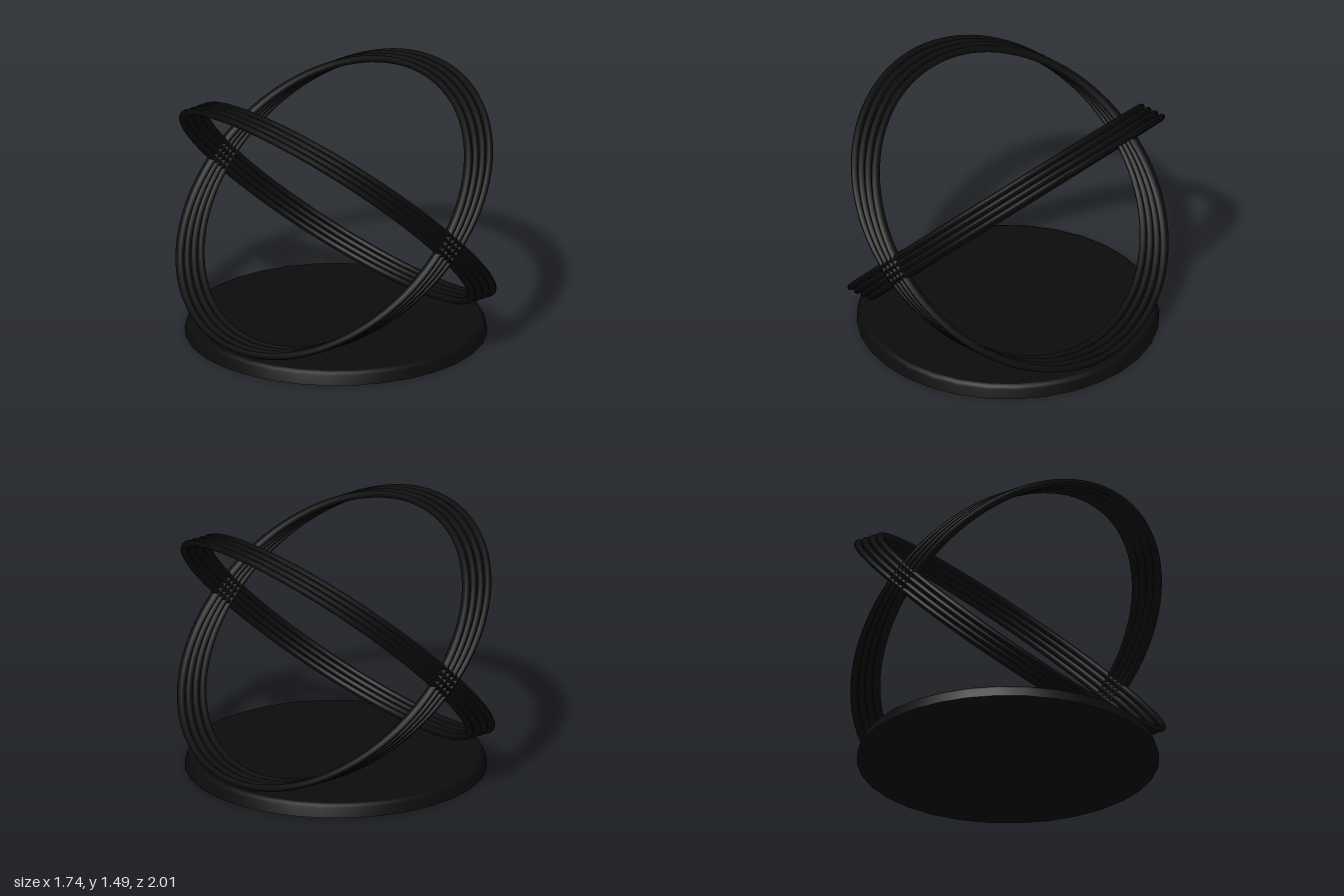
import * as THREE from 'three';

const BLACK = new THREE.MeshStandardMaterial({ color: 0x0c0c0c });

// Ring lying in the local xy plane, its section deepened along local y
function ringGeometry(radius, tube, depthScale) {
  const geo = new THREE.TorusGeometry(radius, tube, 12, 96);
  const p = geo.attributes.position;
  for (let i = 0; i < p.count; i++) {
    const len = Math.hypot(p.getX(i), p.getY(i));
    const centreY = (p.getY(i) / len) * radius;
    p.setY(i, centreY + (p.getY(i) - centreY) * depthScale);
  }
  geo.rotateX(Math.PI / 2); // lay flat: local y becomes z
  geo.computeVertexNormals();
  return geo;
}

export function createModel() {
  const model = new THREE.Group();
  model.name = 'crossedRingSculpture';

  // Disc base with sloped side and softened rim
  const profile = [[0, 0], [0.87, 0], [0.87, 0], [0.855, 0.055], [0.847, 0.07], [0.83, 0.078], [0.83, 0.078], [0, 0.078]]
    .map(([x, y]) => new THREE.Vector2(x, y));
  const base = new THREE.Mesh(new THREE.LatheGeometry(profile, 32), BLACK);
  base.name = 'base';
  model.add(base);

  // Two bands of four parallel rings, crossing at right angles
  const ring = ringGeometry(0.975, 0.02, 1.5);
  for (const side of [1, -1]) {
    const band = new THREE.Group();
    band.name = side > 0 ? 'ringBandLeft' : 'ringBandRight';
    for (let i = 0; i < 4; i++) {
      const mesh = new THREE.Mesh(ring, BLACK);
      mesh.name = 'ring' + (i + 1);
      mesh.rotation.z = -side * Math.PI / 4;
      mesh.position.set(side * (-0.065 + i * 0.0525), 0.778, 0);
      band.add(mesh);
    }
    model.add(band);
  }
  return model;
}
